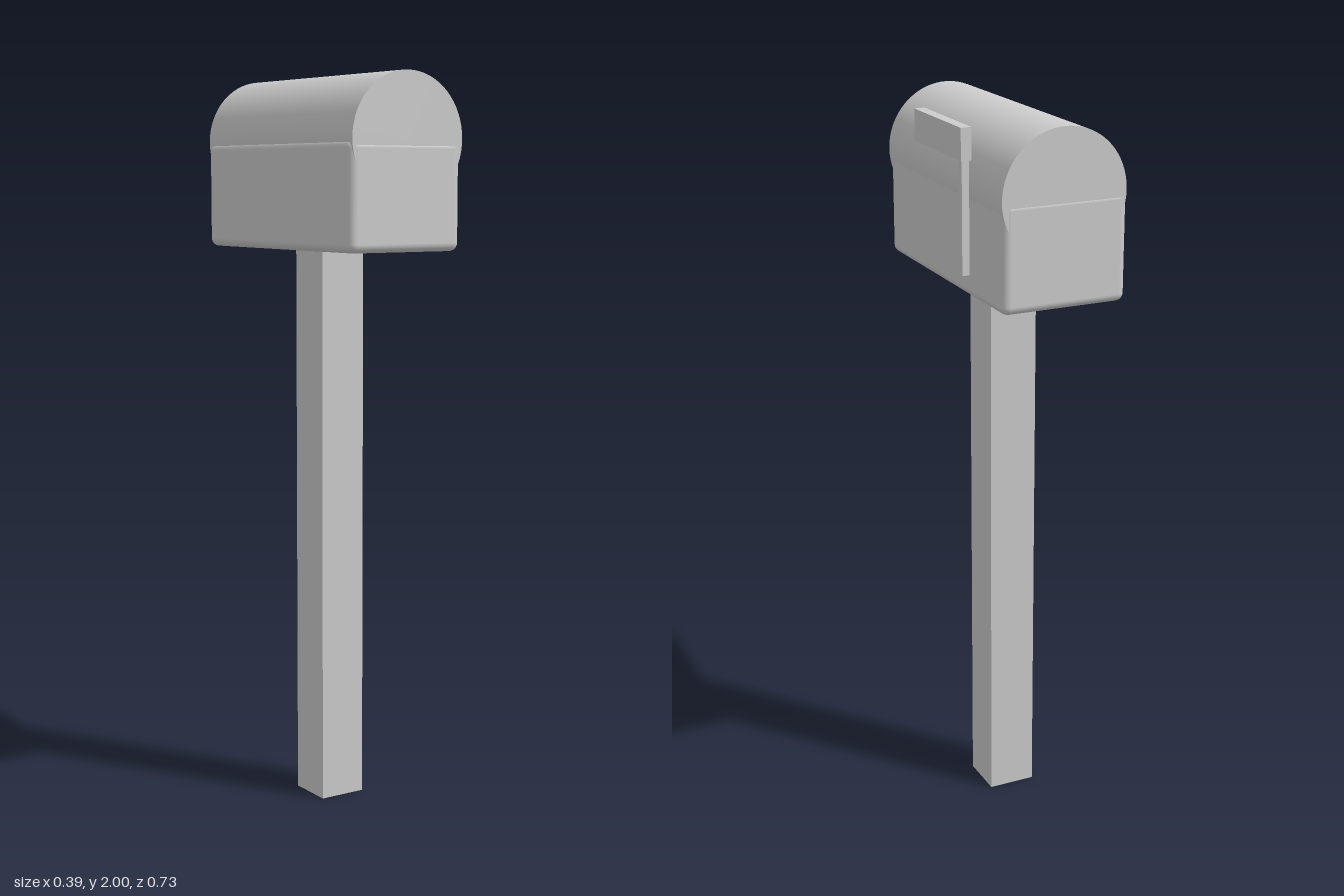
import * as THREE from 'three';
import { RoundedBoxGeometry } from 'three/addons/geometries/RoundedBoxGeometry.js';

export function createModel() {
  const model = new THREE.Group();
  model.name = 'mailbox';
  const grey = new THREE.MeshStandardMaterial({ color: 0xcccccc });
  grey.name = 'light grey';

  const add = (name, geometry, x, y, z, parent = model) => {
    const mesh = new THREE.Mesh(geometry, grey);
    mesh.name = name;
    mesh.position.set(x, y, z);
    parent.add(mesh);
    return mesh;
  };
  // Box given by its lower and upper limits on each axis
  const addBox = (name, [x0, x1], [y0, y1], [z0, z1], parent) =>
    add(name, new THREE.BoxGeometry(x1 - x0, y1 - y0, z1 - z0),
      (x0 + x1) / 2, (y0 + y1) / 2, (z0 + z1) / 2, parent);

  // Square post, ending just inside the box
  addBox('post', [-0.09, 0.043], [0, 1.56], [-0.066, 0.066]);

  // Lower box with softly rounded edges
  add('lowerBox', new RoundedBoxGeometry(0.346, 0.287, 0.728, 4, 0.022), -0.024, 1.6815, 0);

  // Round roof: a barrel lying along z, sunk into the box
  const barrel = new THREE.CylinderGeometry(0.172, 0.172, 0.726, 64);
  barrel.rotateX(Math.PI / 2);
  add('barrelRoof', barrel, -0.02, 1.828, 0);

  // Raised signal flag on the left side
  const flag = new THREE.Group();
  flag.name = 'flag';
  model.add(flag);
  addBox('flagArm', [0.171, 0.191], [1.612, 1.905], [-0.213, -0.192], flag);
  addBox('flagPlate', [0.167, 0.196], [1.905, 1.988], [-0.22, 0.073], flag);

  return model;
}
